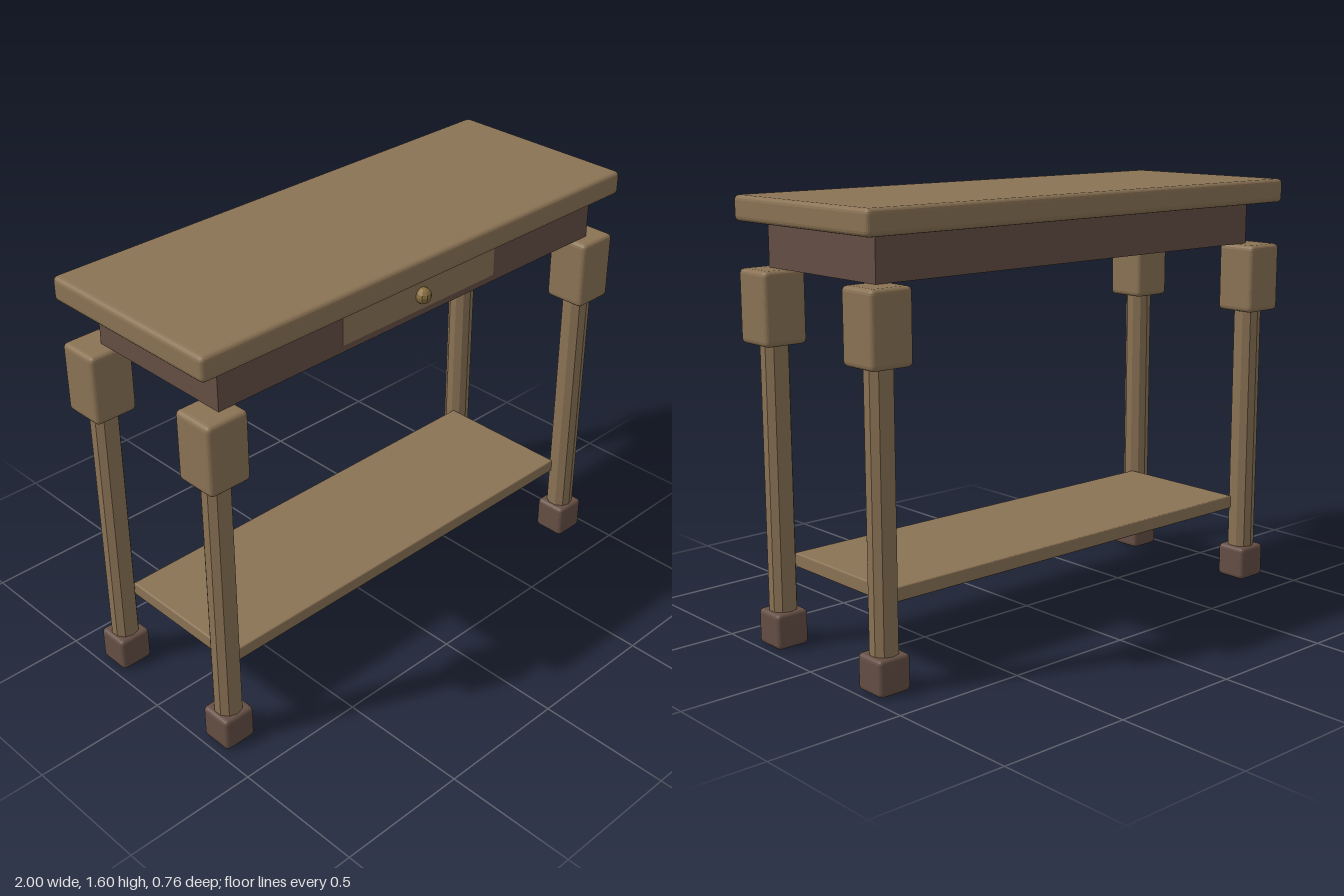
import * as THREE from 'three';
import { RoundedBoxGeometry } from 'three/addons/geometries/RoundedBoxGeometry.js';

const tan = new THREE.MeshStandardMaterial({ color: 0x8b7355 });
const brown = new THREE.MeshStandardMaterial({ color: 0x654f45 });
const brass = new THREE.MeshStandardMaterial({ color: 0x8a7040 });
tan.flatShading = brown.flatShading = brass.flatShading = true;

function add(parent, name, geometry, material, x, y, z) {
  const mesh = new THREE.Mesh(geometry, material);
  mesh.name = name;
  mesh.position.set(x, y, z);
  parent.add(mesh);
  return mesh;
}

const rounded = (w, h, d, r) => new RoundedBoxGeometry(w, h, d, 2, r);

export function createModel() {
  const table = new THREE.Group();
  table.name = 'consoleTable';

  // Top, apron and lower shelf
  add(table, 'tableTop', rounded(2, 0.09, 0.76, 0.018), tan, 0, 1.555, 0);
  add(table, 'apron', new THREE.BoxGeometry(1.8, 0.16, 0.604), brown, 0, 1.43, 0.02);
  add(table, 'shelf', rounded(1.73, 0.052, 0.552, 0.006), tan, 0, 0.307, 0);

  // Drawer set almost flush into the apron, with a round knob
  add(table, 'drawerFront', new THREE.BoxGeometry(0.74, 0.115, 0.02), tan, 0, 1.432, 0.3135);
  add(table, 'drawerKnob', new THREE.SphereGeometry(0.03, 10, 8), brass, 0, 1.43, 0.332);

  // Four legs: block foot, ten-sided shaft, block capital
  const foot = rounded(0.128, 0.13, 0.128, 0.016);
  const shaft = new THREE.CylinderGeometry(0.051, 0.051, 1.0, 10);
  const capital = rounded(0.166, 0.26, 0.166, 0.018);
  for (const sx of [-1, 1]) {
    for (const sz of [-1, 1]) {
      const leg = new THREE.Group();
      leg.name = (sz > 0 ? 'front' : 'back') + (sx > 0 ? 'Left' : 'Right') + 'Leg';
      leg.position.set(sx * 0.907, 0, sz * 0.296);
      add(leg, 'foot', foot, brown, 0, 0.065, 0);
      add(leg, 'shaft', shaft, tan, 0, 0.61, 0);
      add(leg, 'capital', capital, tan, 0, 1.22, 0);
      table.add(leg);
    }
  }
  return table;
}
